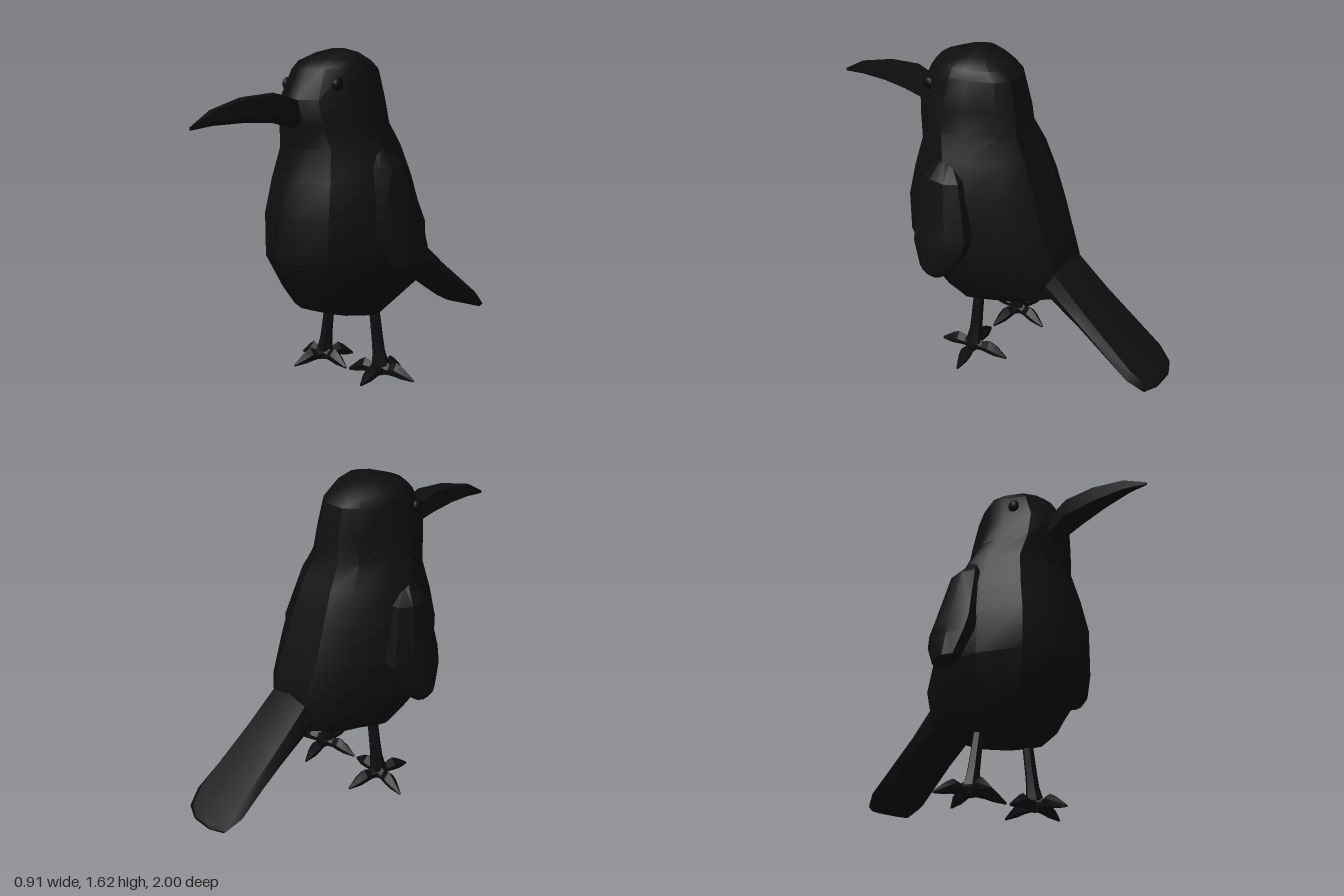
import * as THREE from 'three';
import { toCreasedNormals } from 'three/addons/utils/BufferGeometryUtils.js';

const black = new THREE.MeshStandardMaterial({ color: 0x0e0e0e });
black.name = 'plumage black';
const eyeBlack = new THREE.MeshStandardMaterial({ color: 0x070707 });
eyeBlack.name = 'eye black';

// Skin a list of equal-length rings of [x, y, z] points and close both ends
function loft(rings) {
  const n = rings[0].length, pos = rings.flat(2), idx = [];
  rings.slice(1).forEach((_, r) => {
    for (let i = 0; i < n; i++) {
      const a = r * n + i, b = r * n + (i + 1) % n;
      idx.push(a, b, b + n, a, b + n, a + n);
    }
  });
  [0, rings.length - 1].forEach((r, end) => {
    const c = pos.length / 3;
    for (let k = 0; k < 3; k++) pos.push(rings[r].reduce((s, p) => s + p[k], 0) / n);
    for (let i = 0; i < n; i++) {
      const a = r * n + i, b = r * n + (i + 1) % n;
      idx.push(...(end ? [c, a, b] : [c, b, a]));
    }
  });
  // Turn every face outward by checking the signed volume
  const v = (i) => new THREE.Vector3().fromArray(pos, i * 3);
  let volume = 0;
  for (let i = 0; i < idx.length; i += 3) volume += v(idx[i]).dot(v(idx[i + 1]).cross(v(idx[i + 2])));
  if (volume < 0) idx.reverse();
  const g = new THREE.BufferGeometry();
  g.setAttribute('position', new THREE.Float32BufferAttribute(pos, 3));
  g.setIndex(idx);
  return toCreasedNormals(g, 0.5);
}

// Rings across z: each row is [z, bottom, top, half width]
const alongZ = (rows, outline) => loft(rows.map(([z, lo, hi, w]) =>
  outline.map(([u, t]) => [u * w, lo + (hi - lo) * t, z])));

function mesh(name, geometry, parent, material = black) {
  const m = new THREE.Mesh(geometry, material);
  m.name = name;
  parent.add(m);
  return m;
}

export function createModel() {
  const bird = new THREE.Group();
  bird.name = 'bird';

  // Body and head: [y, front z, back z, half width]
  const half = [[0.16, 1], [0.57, 0.84], [0.9, 0.42], [1, 0.08], [0.9, -0.26], [0.6, -0.78], [0.3, -1]];
  const outline = [...half, ...half.map(([x, z]) => [-x, z]).reverse()];
  const bodyRows = [
    [0.31, 0.1, -0.02, 0.12], [0.33, 0.2, -0.14, 0.205], [0.37, 0.32, -0.27, 0.235],
    [0.46, 0.385, -0.43, 0.3], [0.62, 0.46, -0.43, 0.375], [0.83, 0.455, -0.35, 0.375],
    [1.0, 0.415, -0.29, 0.345], [1.15, 0.375, -0.23, 0.297], [1.26, 0.4, -0.17, 0.252],
    [1.38, 0.41, -0.155, 0.226], [1.52, 0.34, -0.118, 0.193], [1.56, 0.3, -0.07, 0.172],
    [1.6, 0.2, 0, 0.11], [1.62, 0.12, 0.07, 0.03],
  ];
  mesh('body', loft(bodyRows.map(([y, f, b, w]) =>
    outline.map(([x, z]) => [x * w, y, (f + b) / 2 + z * (f - b) / 2]))), bird);

  // Beak, curving down to a point
  mesh('beak', alongZ([
    [0.3, 1.25, 1.37, 0.045], [0.41, 1.25, 1.385, 0.05], [0.53, 1.277, 1.415, 0.06],
    [0.7, 1.285, 1.4, 0.045], [0.88, 1.28, 1.35, 0.023], [1, 1.265, 1.28, 0.004],
  ], [[0, 0], [1, 0.25], [0.8, 0.95], [0, 1], [-0.8, 0.95], [-1, 0.25]]), bird);

  // Tail, a flat blade with a rounded end
  mesh('tail', alongZ([
    [-0.25, 0.52, 0.72, 0.12], [-0.43, 0.465, 0.63, 0.14], [-0.6, 0.375, 0.49, 0.148],
    [-0.89, 0.205, 0.275, 0.165], [-0.965, 0.165, 0.215, 0.135], [-1, 0.172, 0.19, 0.06],
  ], [[0.85, 0], [1, 0.4], [0.8, 0.9], [0, 1], [-0.8, 0.9], [-1, 0.4], [-0.85, 0]]), bird);

  // Toe, from ankle to claw, pointing along +z
  const toe = alongZ([
    [-0.02, 0.015, 0.11, 0.03], [0.05, 0.02, 0.068, 0.022], [0.09, 0.02, 0.085, 0.03],
    [0.125, 0.012, 0.066, 0.026], [0.188, 0.003, 0.015, 0.005],
  ], [[-0.8, 0], [0.8, 0], [1, 0.5], [0, 1], [-1, 0.5]]);

  for (const [side, s] of [['left', 1], ['right', -1]]) {
    // Folded wing: [y, outer x, inner x, front z, back z]
    const wingRows = [
      [1.15, 0.29, 0.22, 0.13, 0.07], [1.07, 0.365, 0.24, 0.18, -0.02], [0.8, 0.43, 0.28, 0.21, -0.1],
      [0.72, 0.447, 0.31, 0.2, -0.08], [0.61, 0.457, 0.36, 0.15, -0.01], [0.58, 0.44, 0.39, 0.11, 0.03],
    ];
    mesh(side + 'Wing', loft(wingRows.map(([y, o, i, f, b]) =>
      Array.from({ length: 8 }, (_, k) => {
        const a = (k + 0.5) * Math.PI / 4;
        return [s * ((o + i) / 2 + Math.cos(a) * 1.08 * (o - i) / 2), y,
          (f + b) / 2 + Math.sin(a) * 1.08 * (f - b) / 2];
      }))), bird);

    // Eye
    const eye = mesh(side + 'Eye', new THREE.SphereGeometry(0.032, 10, 8), bird, eyeBlack);
    eye.position.set(s * 0.165, 1.45, 0.275);
    eye.scale.x = 0.7;

    // Leg, leaning slightly outward
    const legRows = [[0.4, 0.143, 0.026], [0.2, 0.172, 0.03], [0.13, 0.182, 0.033], [0.06, 0.195, 0.045]];
    mesh(side + 'Leg', loft(legRows.map(([y, x, r]) =>
      Array.from({ length: 6 }, (_, k) =>
        [s * x + Math.cos(k * Math.PI / 3) * r, y, Math.sin(k * Math.PI / 3) * r]))), bird);

    // Foot with four toes, turned a little outward
    const foot = new THREE.Group();
    foot.name = side + 'Foot';
    foot.position.x = s * 0.197;
    foot.rotation.y = s * 0.17;
    for (let k = 0; k < 4; k++) mesh('toe', toe, foot).rotation.y = k * Math.PI / 2;
    bird.add(foot);
  }
  return bird;
}
